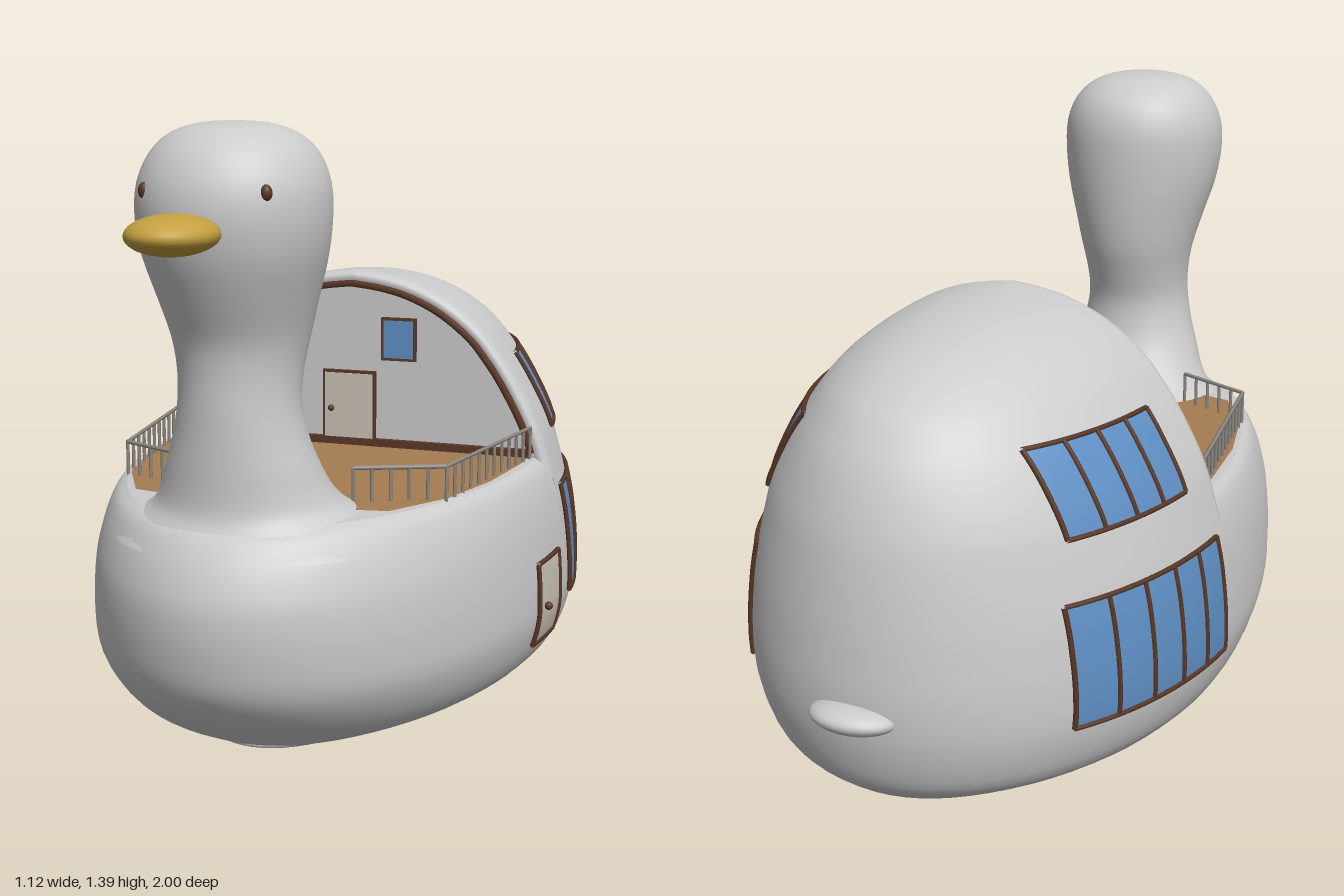
import * as THREE from 'three';
import { mergeVertices, mergeGeometries } from 'three/addons/utils/BufferGeometryUtils.js';

const mat = (color) => new THREE.MeshStandardMaterial({ color, side: THREE.DoubleSide });
const SHELL = mat(0xcccccc), GLASS = mat(0x5f8fc4), TRIM = mat(0x5a3826), FLOOR = mat(0xa67c52);
const BEAK = mat(0xc4a040), DOOR = mat(0xcac2b6), RAIL = mat(0x8f8a84);
const V = (x, y, z) => new THREE.Vector3(x, y, z);
const Z0 = -0.19;        // widest station, where the dome is cut open
const DECK = 0.565;

// Lower hull: height, half width, bow z, stern z
const HULL = [
  [0.006, 0, -0.19, -0.19], [0.008, 0.24, 0.45, -0.74], [0.022, 0.34, 0.52, -0.81],
  [0.05, 0.43, 0.59, -0.86], [0.1, 0.51, 0.675, -0.905], [0.2, 0.548, 0.765, -0.935],
  [0.3, 0.55, 0.795, -0.943], [0.4, 0.54, 0.8, -0.937], [0.47, 0.527, 0.78, -0.93],
];
// Bow shoulder rolling in to the deck, and the dome above the stern: height, half width, end z
const SHOULDER = [[0.52, 0.512, 0.752], [0.55, 0.497, 0.725], [DECK, 0.478, 0.69]];
const DOME = [[0.56, 0.503, -0.917], [0.65, 0.473, -0.898], [0.75, 0.42, -0.86], [0.82, 0.373, -0.815],
  [0.88, 0.322, -0.755], [0.94, 0.243, -0.64], [0.98, 0.158, -0.49], [1.0, 0.08, -0.34], [1.01, 0, Z0]];

// Smooth rows through the table, each holding (half width, height, end z)
function profile(table, sub = 4) {
  const curve = new THREE.CatmullRomCurve3(table.map(([y, w, z]) => V(w, y, z)), false, 'catmullrom');
  return curve.getPoints((table.length - 1) * sub);
}
const bowRows = profile([...HULL.map(([y, w, f]) => [y, w, f]), ...SHOULDER]);
const sternRows = profile([...HULL.map(([y, w, , b]) => [y, w, b]), ...DOME]);

// Skin over equally long rows of points
function loft(rows) {
  const n = rows[0].length, index = [];
  for (let i = 0; i < rows.length - 1; i++)
    for (let j = 0; j < n - 1; j++) {
      const a = i * n + j, b = a + 1, c = a + n, d = c + 1;
      index.push(a, b, c, b, d, c);
    }
  const g = new THREE.BufferGeometry().setFromPoints(rows.flat());
  g.setIndex(index);
  return g;
}
function smooth(g) {
  const m = mergeVertices(g, 1e-5);
  m.computeVertexNormals();
  return m;
}
// Half ellipse in plan, starting at the given angle
const halfLoop = (r, start, n = 40) => Array.from({ length: n + 1 }, (_, j) => {
  const a = start + (j / n) * Math.PI;
  return V(r.x * Math.sin(a), r.y, Z0 + Math.abs(r.z - Z0) * Math.cos(a));
});

// Half width of the shell at a given height and station
function shellX(y, z) {
  const rows = z > Z0 ? bowRows : sternRows;
  let i = 0;
  while (i < rows.length - 2 && rows[i + 1].y < y) i++;
  const p = rows[i].clone().lerp(rows[i + 1], (y - rows[i].y) / (rows[i + 1].y - rows[i].y));
  const t = (z - Z0) / (p.z - Z0);
  return p.x * Math.sqrt(Math.max(0, 1 - t * t));
}

export function createModel() {
  const model = new THREE.Group();
  const add = (name, geometry, material, parent = model) => {
    const m = new THREE.Mesh(geometry, material);
    m.name = name;
    parent.add(m);
    return m;
  };
  const ball = (name, material, pos, scale) => {
    const m = add(name, new THREE.SphereGeometry(1, 32, 20), material);
    m.position.set(...pos);
    m.scale.set(...scale);
    return m;
  };
  const line = (points, r, sides = 6) => new THREE.TubeGeometry(
    new THREE.CatmullRomCurve3(points), points.length * 2, r, sides);

  // Hull and domed stern as one skin, plus a flat cap below the deck
  add('hullAndDome', smooth(mergeGeometries([
    loft(bowRows.map((r) => halfLoop(r, -Math.PI / 2))),
    loft(sternRows.map((r) => halfLoop(r, Math.PI / 2))),
  ])), SHELL);
  const rim = halfLoop(bowRows[bowRows.length - 1], -Math.PI / 2);
  add('hullTop', smooth(loft([rim, rim.map(() => V(0, DECK, 0))])), SHELL);

  // Rounded lip of the dome, end wall and arch trim
  const side = sternRows.filter((r) => r.y >= 0.5);
  const arch = [...side.map((r) => [r.x, r.y]), ...side.slice(0, -1).reverse().map((r) => [-r.x, r.y])];
  const archAt = (s, z) => arch.map(([x, y]) => V(x * s, 0.5 + (y - 0.5) * s, z));
  const lip = [[1, Z0], [0.996, -0.176], [0.983, -0.164], [0.965, -0.159], [0.94, -0.166]];
  add('domeLip', smooth(loft(lip.map(([s, z]) => archAt(s, z)))), SHELL);
  const wall = add('endWall', new THREE.ShapeGeometry(
    new THREE.Shape(archAt(0.955, 0).map((p) => new THREE.Vector2(p.x, p.y)))), SHELL);
  wall.position.z = -0.164;
  add('archTrim', line(archAt(0.938, -0.157).filter((p) => p.y > 0.56), 0.009), TRIM);
  add('wallBaseTrim', new THREE.BoxGeometry(0.92, 0.02, 0.018), TRIM).position.set(0, 0.576, -0.155);

  // Deck floor
  const half = [[0.462, -0.165], [0.46, -0.08], [0.437, 0.12], [0.388, 0.31], [0.3, 0.465], [0.2, 0.485]];
  const outline = [...half, ...half.map(([x, z]) => [-x, z]).reverse()];
  const deck = new THREE.ShapeGeometry(new THREE.Shape(outline.map(([x, z]) => new THREE.Vector2(x, -z))));
  add('deckFloor', deck.rotateX(-Math.PI / 2), FLOOR).position.y = DECK + 0.003;

  // Neck and head: height, half width, back z, front z
  const NECK = [[0.5, 0.31, 0.25, 0.755], [0.55, 0.26, 0.285, 0.72], [0.58, 0.215, 0.325, 0.705],
    [0.62, 0.188, 0.37, 0.7], [0.68, 0.165, 0.41, 0.7], [0.74, 0.145, 0.43, 0.7], [0.81, 0.132, 0.437, 0.7],
    [0.88, 0.134, 0.42, 0.7], [0.95, 0.147, 0.4, 0.71], [1.03, 0.168, 0.387, 0.745], [1.12, 0.193, 0.38, 0.782],
    [1.2, 0.204, 0.378, 0.797], [1.27, 0.2, 0.382, 0.79], [1.33, 0.175, 0.405, 0.76], [1.37, 0.132, 0.452, 0.715],
    [1.39, 0.072, 0.515, 0.655], [1.395, 0, 0.585, 0.585]];
  const widths = profile(NECK.map(([y, w, b]) => [y, w, b]), 3);
  const fronts = profile(NECK.map(([y, w, , f]) => [y, w, f]), 3);
  add('neckAndHead', smooth(loft(widths.map((r, i) => Array.from({ length: 49 }, (_, j) => {
    const a = (j / 48) * Math.PI * 2, zc = (r.z + fronts[i].z) / 2, rz = (fronts[i].z - r.z) / 2;
    return V(r.x * Math.sin(a), r.y, zc + rz * Math.cos(a));
  })))), SHELL);
  ball('beak', BEAK, [0, 1.185, 0.89], [0.09, 0.041, 0.11]);
  ball('tail', SHELL, [0, 0.262, -0.92], [0.1, 0.034, 0.08]).rotation.x = 0.15;
  for (const s of [1, -1]) {
    ball(s > 0 ? 'leftEye' : 'rightEye', TRIM, [0.131 * s, 1.258, 0.738], [0.013, 0.017, 0.012]);
  }

  // Panel that follows the shell, with trim around it and between its panes
  function panel(name, s, [z0, z1], [y0, y1], panes, material) {
    const group = new THREE.Group();
    group.name = name;
    model.add(group);
    const at = (u, v, off) => {
      const z = z0 + (z1 - z0) * u, y = y0 + (y1 - y0) * v;
      return V(s * (shellX(y, z) + off), y, z);
    };
    const steps = (n, f) => Array.from({ length: n + 1 }, (_, i) => f(i / n));
    add('pane', smooth(loft(steps(12, (v) => steps(20, (u) => at(u, v, 0.005))))), material, group);
    for (let i = 0; i <= panes; i++)
      add('upright', line(steps(8, (v) => at(i / panes, v, 0.005)), 0.006), TRIM, group);
    for (const v of [0, 1])
      add('crossbar', line(steps(12, (u) => at(u, v, 0.005)), 0.006), TRIM, group);
  }
  for (const s of [1, -1]) {
    const label = s > 0 ? 'left' : 'right';
    panel(label + 'LowerWindow', s, [-0.23, -0.71], [0.22, 0.49], 5, GLASS);
    panel(label + 'UpperWindow', s, [-0.315, -0.67], [0.62, 0.8], 4, GLASS);
  }
  panel('sideDoor', 1, [0.04, -0.115], [0.155, 0.355], 1, DOOR);
  ball('sideDoorKnob', TRIM, [shellX(0.245, 0) + 0.012, 0.245, 0], [0.01, 0.01, 0.01]);

  // Door and window on the end wall
  function wallPanel(name, x, y, w, h, material) {
    add(name + 'Frame', new THREE.BoxGeometry(w, h, 0.012), TRIM).position.set(x, y, -0.16);
    add(name, new THREE.BoxGeometry(w - 0.014, h - 0.014, 0.016), material).position.set(x, y, -0.159);
  }
  wallPanel('deckDoor', -0.005, 0.665, 0.14, 0.185, DOOR);
  wallPanel('deckWindow', 0.125, 0.842, 0.09, 0.108, GLASS);
  ball('deckDoorKnob', TRIM, [-0.05, 0.66, -0.147], [0.008, 0.008, 0.008]);

  // Railings along both sides of the deck
  for (const s of [1, -1]) {
    const rail = new THREE.Group();
    rail.name = s > 0 ? 'leftRailing' : 'rightRailing';
    model.add(rail);
    const path = [V(s * 0.465, 0.643, -0.15), V(s * 0.388, 0.643, 0.325), V(s * 0.2, 0.643, 0.41)];
    [11, 5].forEach((count, k) => {
      const bar = new THREE.LineCurve3(path[k], path[k + 1]);
      add('handrail', new THREE.TubeGeometry(bar, 1, 0.005, 6), RAIL, rail);
      for (let i = 0; i <= count; i++) {
        const p = bar.getPoint(i / count);
        add('post', new THREE.CylinderGeometry(0.004, 0.004, 0.08, 6), RAIL, rail).position.set(p.x, 0.603, p.z);
      }
    });
  }
  return model;
}
